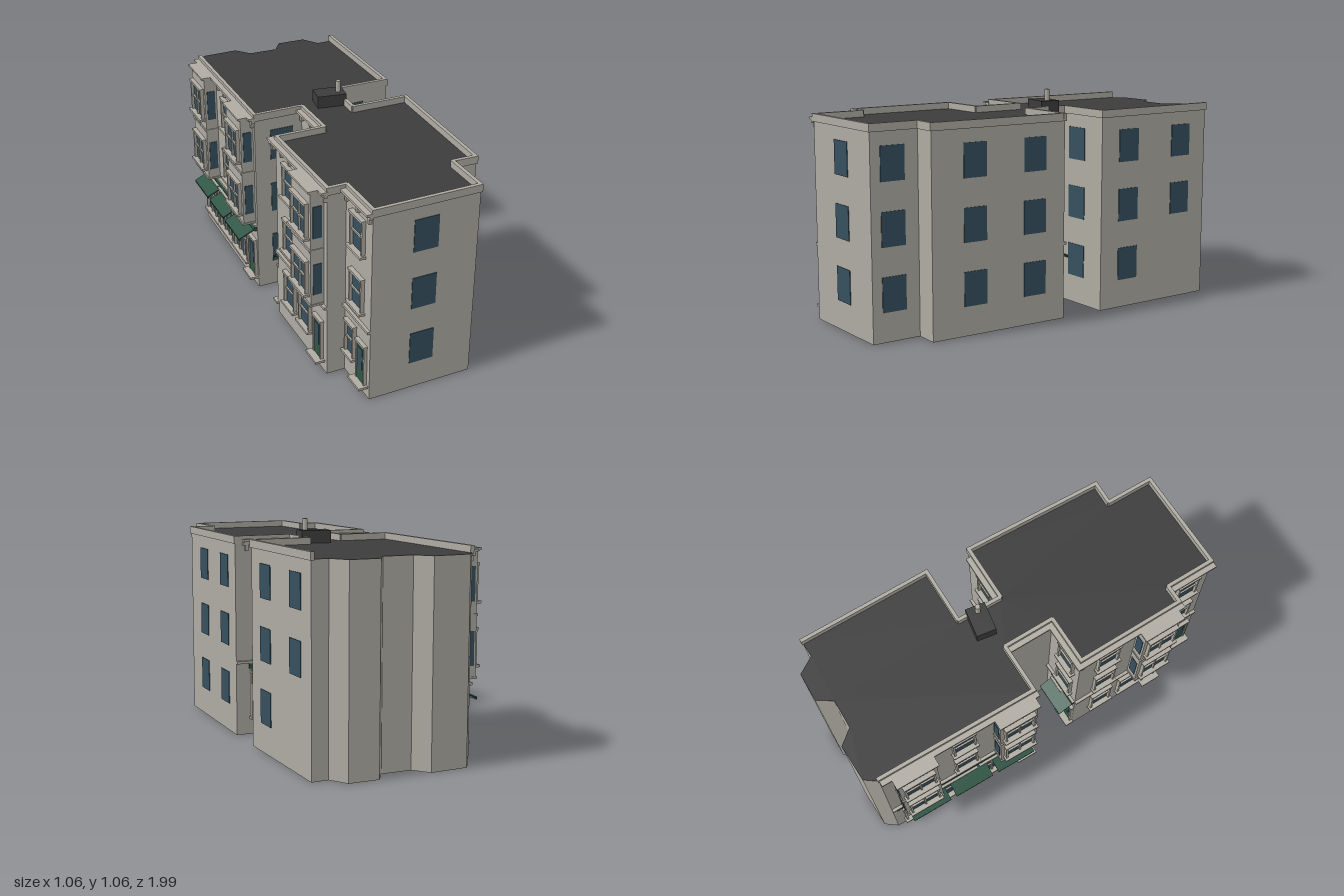
import * as THREE from 'three';

const mat = (name, color) => {
  const m = new THREE.MeshStandardMaterial({ color });
  m.name = name;
  return m;
};

export function createModel() {
  const stone = mat('stone wall', 0xaeaba2);
  const trim = mat('stone trim', 0xb0aca2);
  const roof = mat('dark roof', 0x3c3c3c);
  const glass = mat('blue glass', 0x36505f);
  const green = mat('green paint', 0x2f5545);

  const model = new THREE.Group();
  model.name = 'building';

  // Footprint corners (x, z), each wall running left to right seen from outside
  const plan = [
    [-0.065, 0.98], [0.445, 0.895], [0.41, 0.66], [0.525, 0.645], [0.44, -0.06], [0.155, -0.015],
    [0.125, -0.235], [0.41, -0.28], [0.31, -0.94], [0.23, -0.925], [0.165, -1], [0.02, -0.98],
    [-0.015, -0.9], [-0.16, -0.88], [-0.23, -0.943], [-0.41, -0.91], [-0.445, -0.845], [-0.33, -0.045],
    [-0.085, -0.085], [-0.045, 0.165], [-0.285, 0.205], [-0.195, 0.75], [-0.105, 0.735],
  ];
  const roofY = 0.945;
  const FLOORS = [[0.137, 0.297], [0.43, 0.588], [0.72, 0.878]];
  const UPPER = FLOORS.slice(1);

  // Main body: dark caps, stone sides
  const shape = new THREE.Shape(plan.map(([x, z]) => new THREE.Vector2(x, -z)));
  const bodyGeo = new THREE.ExtrudeGeometry(shape, { depth: roofY, bevelEnabled: false });
  bodyGeo.rotateX(-Math.PI / 2);
  const body = new THREE.Mesh(bodyGeo, [roof, stone]);
  body.name = 'body';
  model.add(body);

  // Wall frame: x along the wall, y up, z outward
  const wall = (i, name) => {
    const [p, q] = [plan[i], plan[(i + 1) % plan.length]];
    const g = new THREE.Group();
    g.name = name;
    g.position.set(p[0], 0, p[1]);
    g.rotation.y = Math.atan2(p[1] - q[1], q[0] - p[0]);
    g.userData.length = Math.hypot(q[0] - p[0], q[1] - p[1]);
    model.add(g);
    return g;
  };

  // Box given by its ranges
  const box = (g, name, m, x0, x1, y0, y1, z0, z1) => {
    const mesh = new THREE.Mesh(new THREE.BoxGeometry(x1 - x0, y1 - y0, z1 - z0), m);
    mesh.position.set((x0 + x1) / 2, (y0 + y1) / 2, (z0 + z1) / 2);
    mesh.name = name;
    g.add(mesh);
    return mesh;
  };

  const parapet = (g) =>
    box(g, 'parapet', stone, -0.006, g.userData.length + 0.006, 0.94, 0.977, -0.012, 0.006);

  const pane = (g, x, [y0, y1], w = 0.12) =>
    box(g, 'windowPane', glass, x - w / 2, x + w / 2, y0, y1, -0.002, 0.003);

  // Sash window with frame, sill and lintel
  const sash = (g, x, [y0, y1], w = 0.11, z = 0, mullions = 0) => {
    const h = w / 2, t = 0.01;
    box(g, 'sashGlass', glass, x - h, x + h, y0, y1, z - 0.002, z + 0.004);
    for (const s of [-1, 1]) box(g, 'jamb', trim, x + s * h - t / 2, x + s * h + t / 2, y0, y1, z, z + 0.018);
    box(g, 'meetingRail', trim, x - h, x + h, (y0 + y1) / 2 - 0.004, (y0 + y1) / 2 + 0.004, z, z + 0.012);
    for (let k = 1; k <= mullions; k++) {
      const mx = x - h + (w * k) / (mullions + 1);
      box(g, 'mullion', trim, mx - 0.004, mx + 0.004, y0, y1, z, z + 0.013);
    }
    box(g, 'sill', trim, x - h - 0.014, x + h + 0.014, y0 - 0.012, y0, z, z + 0.03);
    box(g, 'lintel', trim, x - h - 0.008, x + h + 0.008, y1, y1 + 0.012, z, z + 0.022);
  };

  // Projecting two-storey bay
  const bay = (g, x, w = 0.2, d = 0.064) => {
    const h = w / 2;
    box(g, 'bay', stone, x - h, x + h, 0.375, 0.95, -0.01, d);
    for (const y of [0.37, 0.655, 0.945])
      box(g, 'bayLedge', trim, x - h - 0.004, x + h + 0.004, y, y + 0.01, 0, d + 0.006);
    box(g, 'bayCap', trim, x - h - 0.008, x + h + 0.008, 0.95, 0.96, 0, d + 0.015);
    for (const f of UPPER) {
      sash(g, x, f, 0.15, d, 1);
      for (const s of [-1, 1])
        box(g, 'baySideGlass', glass, x + s * h - 0.003, x + s * h + 0.003, f[0], f[1], 0.01, 0.053);
    }
  };

  // Bracketed cornice with extra length at outer corners
  const cornice = (g, e0 = 0, e1 = 0, s0 = 0) => {
    const a = s0 - e0, b = g.userData.length + e1;
    box(g, 'cornice', trim, a, b, 0.948, 0.96, 0, 0.032);
    box(g, 'bedMoulding', trim, a, b, 0.932, 0.948, 0, 0.018);
    const n = Math.max(2, Math.round((b - a) / 0.09));
    for (let k = 0; k < n; k++) {
      const x = a + 0.02 + ((b - a - 0.04) * k) / (n - 1);
      box(g, 'bracket', trim, x - 0.007, x + 0.007, 0.905, 0.932, 0, 0.016);
    }
  };

  const belt = (g) => box(g, 'beltCourse', trim, 0, g.userData.length, 0.355, 0.368, 0, 0.015);

  const door = (g, x, w = 0.075) => {
    const h = w / 2;
    box(g, 'door', green, x - h, x + h, 0.06, 0.26, 0, 0.012);
    box(g, 'doorGlass', glass, x - h + 0.018, x + h - 0.018, 0.13, 0.24, 0.008, 0.014);
    for (const s of [-1, 1]) box(g, 'doorJamb', trim, x + s * h - 0.005, x + s * h + 0.005, 0.06, 0.268, 0, 0.016);
    box(g, 'doorHead', trim, x - h - 0.008, x + h + 0.008, 0.26, 0.272, 0, 0.02);
    box(g, 'doorStep', trim, x - h - 0.018, x + h + 0.018, 0.05, 0.062, 0, 0.046);
  };

  // Sloping canopy with a hanging front edge
  const awning = (g, x, w) => {
    const run = 0.085, drop = 0.04;
    const slope = new THREE.Mesh(new THREE.BoxGeometry(w, 0.006, Math.hypot(run, drop)), green);
    slope.name = 'awning';
    slope.position.set(x, 0.318 - drop / 2, run / 2);
    slope.rotation.x = Math.atan2(drop, run);
    g.add(slope);
    box(g, 'awningEdge', green, x - w / 2, x + w / 2, 0.27, 0.282, run - 0.006, run);
  };

  const shopWindow = (g, x, w) => {
    sash(g, x, [0.09, 0.305], w, 0, 2);
    box(g, 'transom', trim, x - w / 2, x + w / 2, 0.25, 0.257, 0, 0.012);
  };

  const fascia = (g, a, b) => box(g, 'shopFascia', green, a, b, 0.328, 0.355, 0, 0.012);

  // Plain walls: wall index, name, window centres along the wall
  const plain = [
    [0, 'frontWall', [0.258]], [1, 'rightFrontWall', [0.109]], [2, 'rightStepWall', []],
    [3, 'rightWall', [0.222, 0.544]], [5, 'rightNeckWall', [0.106]], [6, 'rightCourtWall', [0.1]],
    [7, 'rightRearWall', [0.167, 0.503]], [17, 'leftCourtWall', [0.14]], [21, 'leftStepWall', []],
  ];
  for (const [i, name, centres] of plain) {
    const g = wall(i, name);
    parapet(g);
    for (const x of centres)
      for (const f of FLOORS) if (!(x === 0.503 && f === FLOORS[0])) pane(g, x, f);
  }

  // Rear block street wall with shopfront
  const shop = wall(16, 'shopWall');
  parapet(shop);
  cornice(shop, 0, 0.01);
  belt(shop);
  fascia(shop, 0.02, 0.8);
  bay(shop, 0.157);
  bay(shop, 0.687);
  for (const f of UPPER) sash(shop, 0.425, f);
  for (const x of [0.177, 0.419, 0.661]) awning(shop, x, 0.21);
  for (const x of [0.15, 0.37, 0.59]) shopWindow(shop, x, 0.19);
  door(shop, 0.752);

  // Neck wall on the street side
  const neck = wall(18, 'leftNeckWall');
  parapet(neck);
  cornice(neck);

  // Front block street wall
  const street = wall(20, 'streetWall');
  parapet(street);
  cornice(street, 0.03, 0.01);
  belt(street);
  bay(street, 0.42);
  for (const f of FLOORS) sash(street, 0.16, f);
  sash(street, 0.33, FLOORS[0]);
  door(street, 0.475);

  // Narrow front section street wall
  const end = wall(22, 'streetEndWall');
  parapet(end);
  cornice(end, 0, 0.006);
  belt(end);
  for (const f of UPPER) sash(end, 0.125, f);
  sash(end, 0.07, FLOORS[0], 0.08);
  door(end, 0.18);

  // Court entrances with awnings, one on each side
  for (const [i, name, x, e1, s0] of [[19, 'leftEntranceWall', 0.145, 0.03, 0], [4, 'rightEntranceWall', 0.165, 0, 0.035]]) {
    const g = wall(i, name);
    parapet(g);
    cornice(g, 0, e1, s0);
    belt(g);
    fascia(g, x - 0.1, x + 0.095);
    awning(g, x, 0.18);
    for (const f of UPPER) sash(g, x, f);
    shopWindow(g, x - 0.045, 0.08);
    door(g, x + 0.055);
  }

  // Rooftop unit and vent pipe
  box(model, 'roofUnit', roof, 0, 0.145, 0.94, 1.005, -0.192, -0.095);
  const pipe = new THREE.Mesh(new THREE.CylinderGeometry(0.013, 0.013, 0.06, 8), trim);
  pipe.name = 'ventPipe';
  pipe.position.set(0.115, 1.03, -0.14);
  model.add(pipe);

  return model;
}
